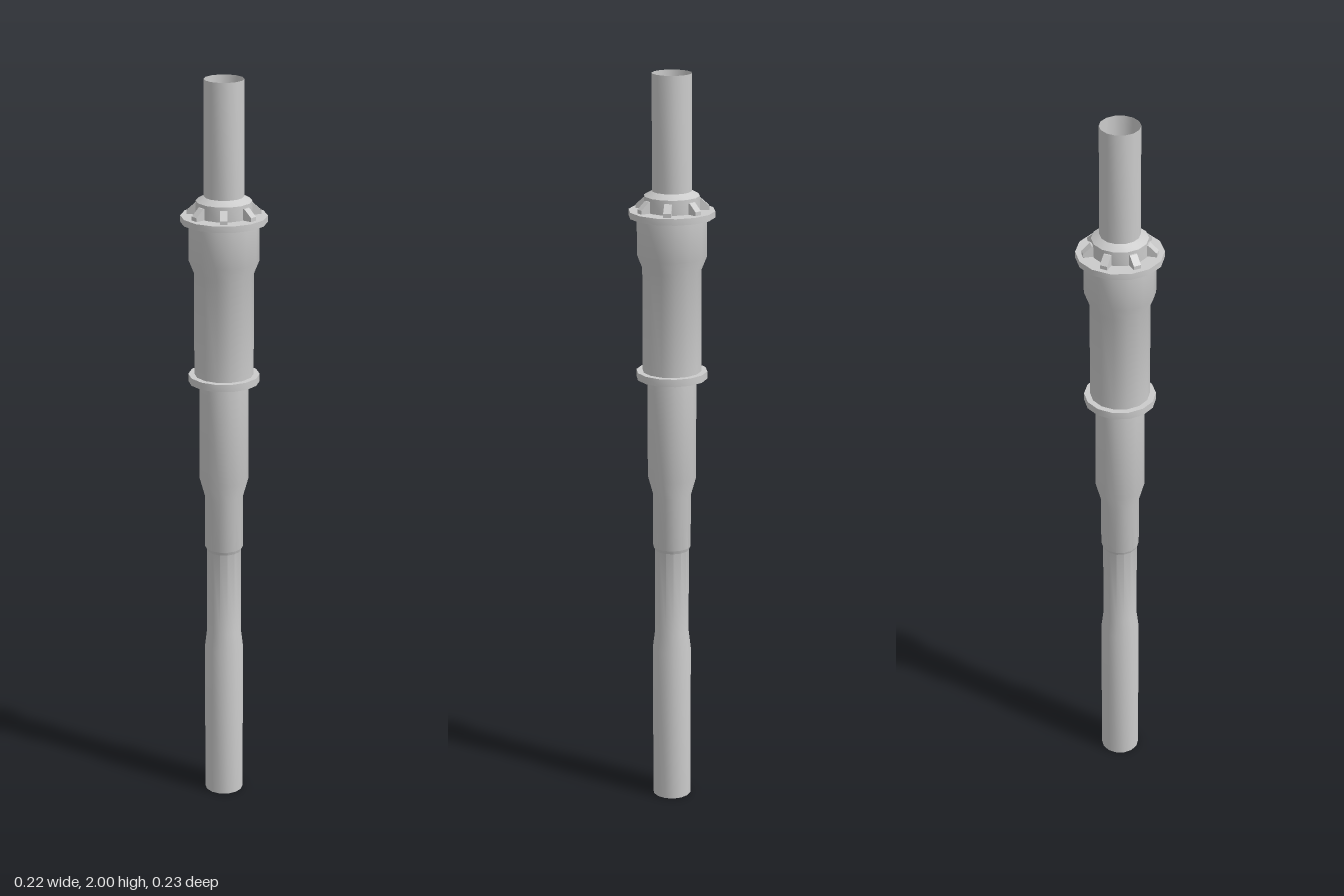
import * as THREE from 'three';
import { toCreasedNormals } from 'three/addons/utils/BufferGeometryUtils.js';

const SIDES = 14;

export function createModel() {
  const group = new THREE.Group();
  const material = new THREE.MeshStandardMaterial({ color: 0xcccccc, side: THREE.DoubleSide });

  const add = (name, geometry, parent = group) => {
    const mesh = new THREE.Mesh(geometry, material);
    mesh.name = name;
    parent.add(mesh);
    return mesh;
  };

  // Open turned shell from [radius, height] pairs, listed bottom to top
  const turned = (name, profile) => {
    const points = profile.map(([r, y]) => new THREE.Vector2(r, y));
    return add(name, toCreasedNormals(new THREE.LatheGeometry(points, SIDES), 0.6));
  };

  // Hollow pipe with a waist, widening toward the sleeve
  turned('lowerPipe', [
    [0.052, 0], [0.052, 0.43], [0.046, 0.48], [0.046, 0.715], [0.051, 0.725],
    [0.051, 0.87], [0.065, 0.92], [0.065, 1.195],
  ]);

  turned('lowerFlange', [[0.065, 1.195], [0.094, 1.195], [0.094, 1.215], [0.078, 1.215]]);

  // Sleeve flares out under the upper flange
  turned('sleeve', [[0.078, 1.215], [0.078, 1.49], [0.092, 1.525], [0.092, 1.628]]);

  turned('upperFlange', [[0.092, 1.628], [0.113, 1.628], [0.113, 1.645], [0.073, 1.645]]);

  // Collar with a bevelled top closing onto the upper pipe
  turned('collar', [[0.073, 1.645], [0.073, 1.684], [0.052, 1.696]]);

  turned('upperPipe', [[0.052, 1.696], [0.052, 2]]);

  // Seven sloped ribs around the collar
  const ribShape = new THREE.Shape([
    [0.062, 1.643], [0.097, 1.643], [0.097, 1.655], [0.075, 1.675], [0.062, 1.675],
  ].map(([r, y]) => new THREE.Vector2(r, y)));
  const ribGeometry = new THREE.ExtrudeGeometry(ribShape, { depth: 0.02, bevelEnabled: false });
  ribGeometry.translate(0, 0, -0.01);
  const ribs = new THREE.Group();
  ribs.name = 'collarRibs';
  for (let i = 0; i < 7; i++) {
    add('collarRib', ribGeometry, ribs).rotation.y = (i / 7) * Math.PI * 2;
  }
  group.add(ribs);

  return group;
}
